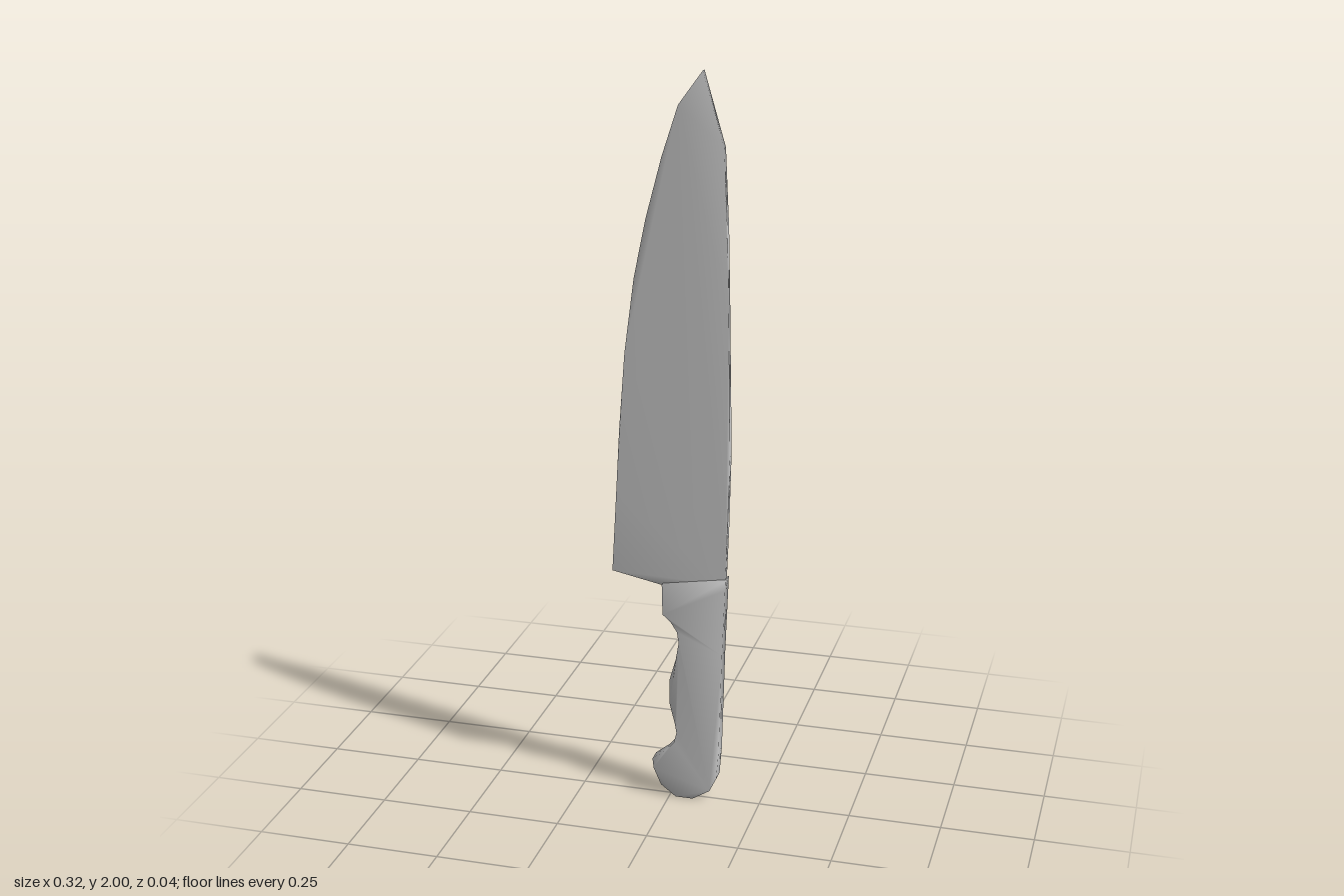
import * as THREE from 'three';
import { mergeVertices } from 'three/addons/utils/BufferGeometryUtils.js';

// Flat plate cut from an outline, with normals shared across its rims
function plate(name, outline, zBack, zFront) {
  const shape = new THREE.Shape(outline.map(([x, y]) => new THREE.Vector2(x, y)));
  let geometry = new THREE.ExtrudeGeometry(shape, { depth: zFront - zBack, bevelEnabled: false });
  geometry.translate(0, 0, zBack);
  geometry.deleteAttribute('normal');
  geometry.deleteAttribute('uv');
  geometry = mergeVertices(geometry);
  geometry.computeVertexNormals();
  const mesh = new THREE.Mesh(geometry, new THREE.MeshStandardMaterial({ color: 0xcccccc }));
  mesh.name = name;
  return mesh;
}

export function createModel() {
  const group = new THREE.Group();
  group.name = 'chefKnife';

  // Blade: heel, up the curved cutting edge to the tip, down the spine
  const blade = [
    [-0.022, 0.622], [-0.162, 0.65], [-0.15, 0.865], [-0.14, 1.05], [-0.124, 1.262],
    [-0.098, 1.463], [-0.066, 1.62], [-0.024, 1.78], [0.019, 1.913],
    [0.082, 2.0],
    [0.138, 1.81], [0.148, 1.606], [0.153, 1.394], [0.158, 1.13], [0.16, 1.0],
    [0.156, 0.81], [0.15, 0.64],
  ];

  // Handle: slanted collar, straight back, rounded butt, finger grip
  const handle = [
    [-0.021, 0.628], [0.154, 0.657], [0.153, 0.63], [0.146, 0.44], [0.139, 0.15],
    [0.133, 0.07], [0.114, 0.03], [0.066, 0], [0.018, 0], [-0.024, 0.032],
    [-0.045, 0.08], [-0.048, 0.108], [-0.008, 0.14], [0.013, 0.165], [0.02, 0.195],
    [0.016, 0.22], [0.001, 0.28], [0, 0.35], [0.018, 0.415], [0.026, 0.463],
    [0.021, 0.495], [0.003, 0.523], [-0.019, 0.542],
  ];

  group.add(plate('blade', blade, -0.011, 0.006));
  group.add(plate('handle', handle, -0.019, 0.019));
  return group;
}
